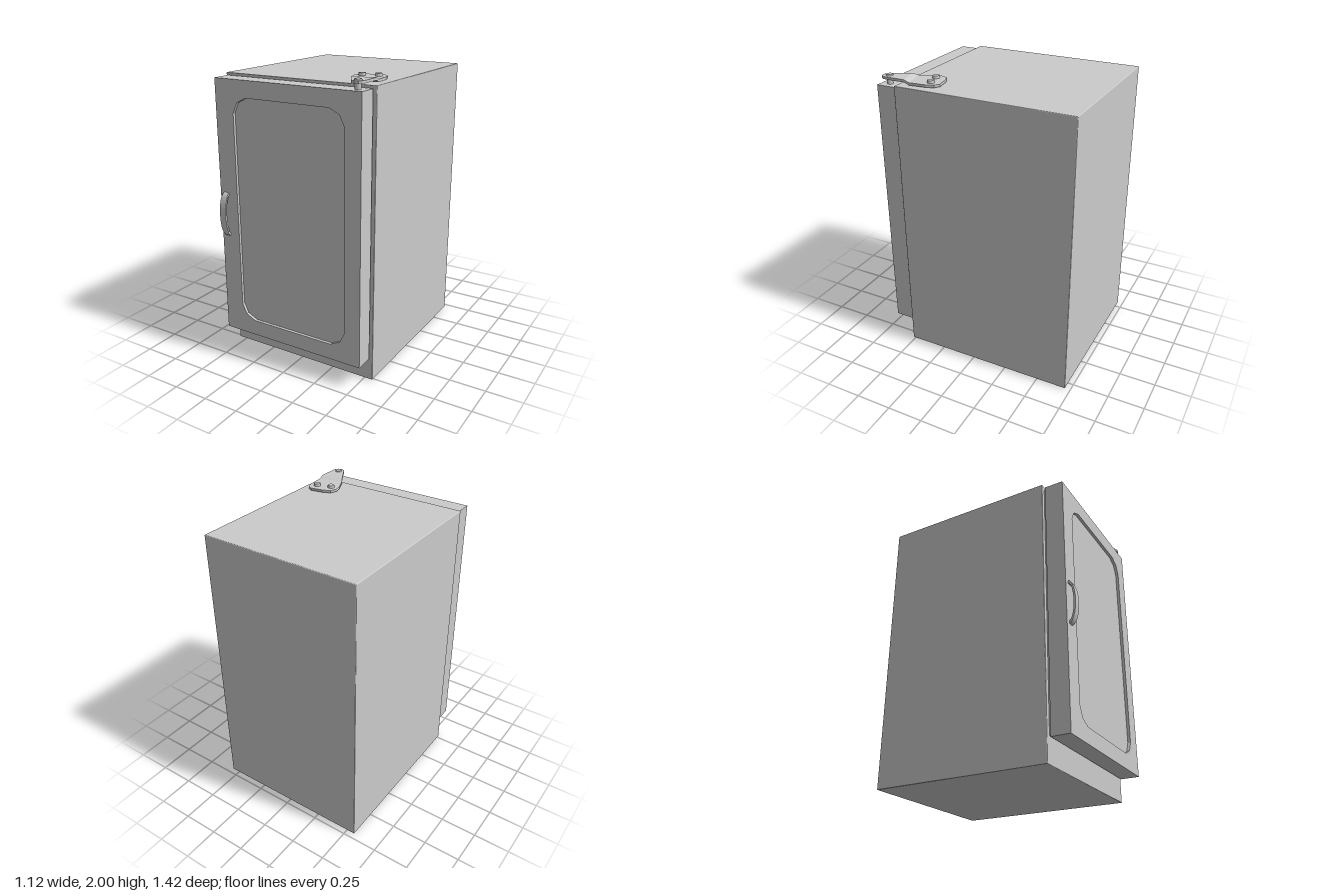
import * as THREE from 'three';
import { RoundedBoxGeometry } from 'three/addons/geometries/RoundedBoxGeometry.js';

export function createModel() {
  const group = new THREE.Group();
  const mat = new THREE.MeshStandardMaterial({ color: 0xcccccc });
  const flat = new THREE.MeshStandardMaterial({ color: 0xcccccc, flatShading: true });

  function add(name, geo, x = 0, y = 0, z = 0, material = mat, parent = group) {
    const mesh = new THREE.Mesh(geo, material);
    mesh.name = name;
    mesh.position.set(x, y, z);
    parent.add(mesh);
    return mesh;
  }
  const polygon = (pts) => new THREE.Shape(pts.map(([x, y]) => new THREE.Vector2(x, y)));
  const extrude = (shape, depth) => new THREE.ExtrudeGeometry(shape, { depth, bevelEnabled: false });

  // Cabinet body and the seal behind the door
  add('cabinet', new RoundedBoxGeometry(1.12, 1.953, 1.23, 2, 0.005), 0, 0.9765, -0.097);
  add('doorSeal', new THREE.BoxGeometry(1.06, 1.75, 0.03), 0, 1.047, 0.525);

  // Door frame with a chamfered window opening
  const door = new THREE.Group();
  door.name = 'door';
  group.add(door);
  const frame = polygon([[-0.54, 0.16], [0.54, 0.16], [0.54, 1.937], [-0.54, 1.937]]);
  const cx = 0.0125, cy = 1.0475, hw = 0.4125, hh = 0.7775;
  const corner = [[hw, hh - 0.105], [hw - 0.033, hh - 0.035], [hw - 0.105, hh]];
  const opening = [];
  for (const [sx, sy] of [[1, 1], [-1, 1], [-1, -1], [1, -1]]) {
    const pts = corner.map(([x, y]) => [cx + sx * x, cy + sy * y]);
    opening.push(...(sx * sy > 0 ? pts : pts.reverse()));
  }
  frame.holes.push(polygon(opening));
  add('doorFrame', extrude(frame, 0.13), 0, 0, 0.53, flat, door);
  add('windowPanel', new THREE.BoxGeometry(0.86, 1.59, 0.1), cx, cy, 0.59, mat, door);

  // Bowed handle: crescent side profile, narrower towards the door
  const profile = [];
  const arc = (halfHeight, depth, from, to) => {
    for (let i = 0; i <= 16; i++) {
      const a = from + (to - from) * i / 16;
      profile.push([depth * Math.cos(a), halfHeight * Math.sin(a)]);
    }
  };
  arc(0.153, 0.052, -Math.PI / 2, Math.PI / 2);
  arc(0.132, 0.038, Math.PI / 2, -Math.PI / 2);
  const handle = extrude(polygon(profile), 0.05);
  handle.translate(0, 0, -0.025).rotateY(-Math.PI / 2);
  const hp = handle.attributes.position;
  for (let i = 0; i < hp.count; i++) {
    hp.setX(i, hp.getX(i) * (0.7 + 0.3 * Math.min(1, hp.getZ(i) / 0.038)));
  }
  handle.computeVertexNormals();
  add('handle', handle, -0.49, 1.024, 0.659, mat, door);

  // Hinge plate: rear leaf, sloped step and raised front leaf (x, z outlines)
  const hinge = new THREE.Group();
  hinge.name = 'topHinge';
  group.add(hinge);
  const rise = 0.015, thickness = 0.017;
  const bendA = [[0.523, 0.43], [0.355, 0.463]];
  const bendB = [[0.526, 0.463], [0.376, 0.5]];
  const leaves = {
    hingeRearLeaf: [...bendA, [0.312, 0.37], [0.303, 0.325], [0.32, 0.277],
      [0.37, 0.256], [0.462, 0.24], [0.497, 0.262], [0.514, 0.31]],
    hingeStep: [...bendA, bendB[1], bendB[0]],
    hingeFrontLeaf: [...bendB, [0.44, 0.61], [0.455, 0.635], [0.48, 0.648],
      [0.508, 0.642], [0.524, 0.62], [0.527, 0.59]],
  };
  for (const [name, outline] of Object.entries(leaves)) {
    const geo = extrude(polygon(outline), thickness);
    geo.rotateX(Math.PI / 2);
    const p = geo.attributes.position;
    for (let i = 0; i < p.count; i++) {
      // Raise everything in front of the second bend line
      const line = p.getZ(i) + 0.22 * (p.getX(i) - 0.45);
      if (line > 0.465) p.setY(i, p.getY(i) + rise);
    }
    add(name, geo, 0, 1.977, 0, flat, hinge);
  }

  // Screws through the rear leaf and the door pivot pin
  for (const [x, z] of [[0.357, 0.334], [0.458, 0.308]]) {
    add('hingeScrew', new THREE.CylinderGeometry(0.022, 0.025, 0.018, 16), x, 1.985, z, mat, hinge);
    add('hingeSpacer', new THREE.CylinderGeometry(0.03, 0.03, 0.012, 16), x, 1.956, z, mat, hinge);
  }
  add('pivotPin', new THREE.CylinderGeometry(0.02, 0.02, 0.07, 16), 0.481, 1.963, 0.601, mat, hinge);
  add('pivotCap', new THREE.CylinderGeometry(0.022, 0.025, 0.012, 16), 0.481, 1.994, 0.601, mat, hinge);

  return group;
}
